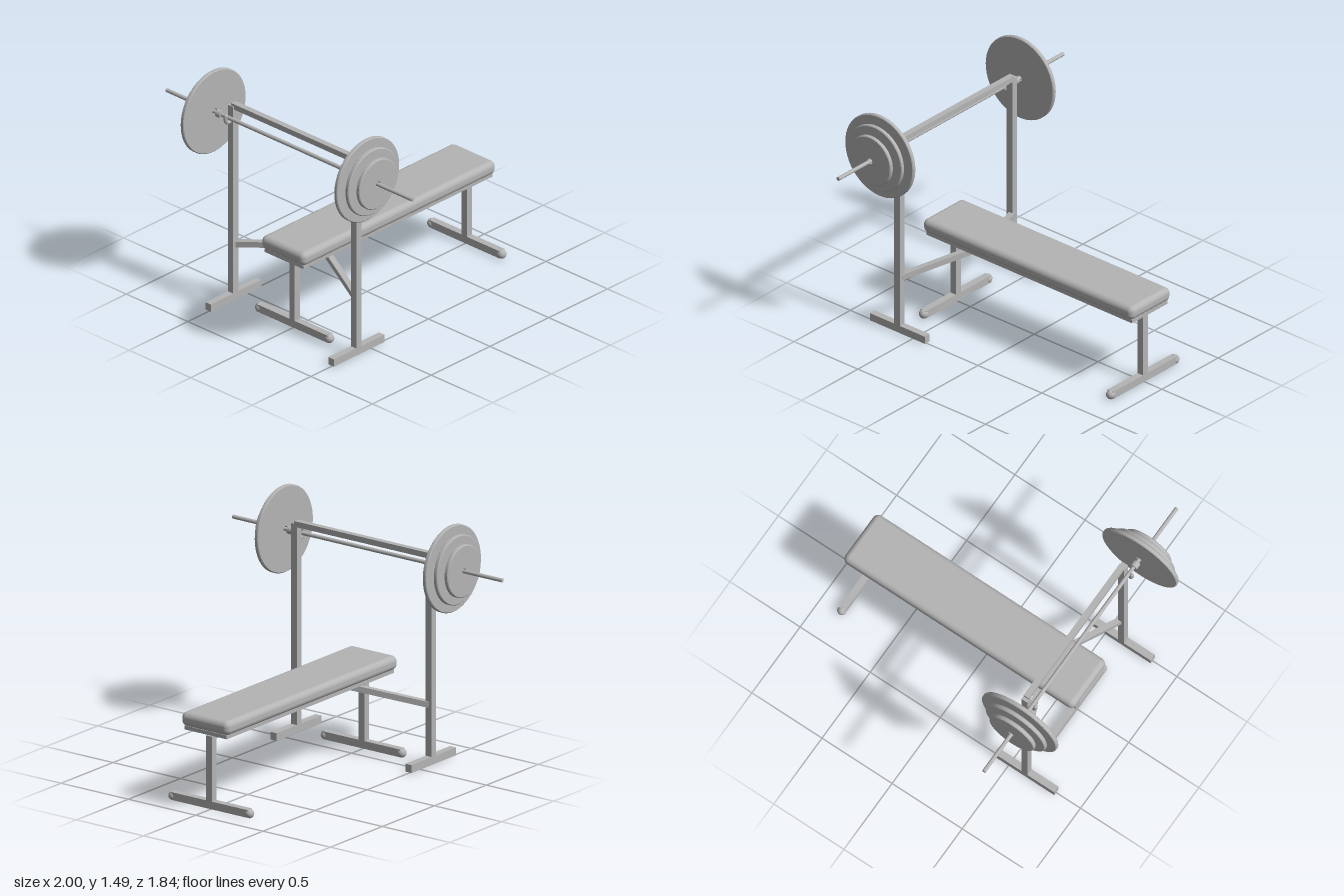
import * as THREE from 'three';
import { RoundedBoxGeometry } from 'three/addons/geometries/RoundedBoxGeometry.js';

export function createModel() {
  const model = new THREE.Group();
  model.name = 'weightBench';
  const grey = new THREE.MeshStandardMaterial({ color: 0xb4b4b4 });
  grey.name = 'grey';

  const add = (name, geometry, x, y, z) => {
    const mesh = new THREE.Mesh(geometry, grey);
    mesh.name = name;
    mesh.position.set(x, y, z);
    model.add(mesh);
    return mesh;
  };
  // Box given by its lower and upper limits
  const box = (name, [x0, x1], [y0, y1], [z0, z1]) =>
    add(name, new THREE.BoxGeometry(x1 - x0, y1 - y0, z1 - z0),
      (x0 + x1) / 2, (y0 + y1) / 2, (z0 + z1) / 2);

  const T = 0.022;       // half width of the square tube
  const rackZ = 0.615;
  const rearZ = -0.85;
  const barY = 1.224, barZ = 0.655;

  // Padded bench on its board and centre rail
  add('benchPad', new RoundedBoxGeometry(0.356, 0.087, 1.645, 5, 0.035), 0, 0.5395, -0.0985);
  box('benchBoard', [-0.157, 0.157], [0.475, 0.499], [-0.905, 0.705]);
  box('benchRail', [-T, T], [0.435, 0.475], [rearZ, rackZ]);

  // Front and rear legs with cross feet and rounded end caps
  for (const [name, z] of [['front', rackZ], ['rear', rearZ]]) {
    box(name + 'Leg', [-T, T], [0.03, 0.456], [z - T, z + T]);
    box(name + 'Foot', [-0.287, 0.287], [0.007, 0.055], [z - T, z + T]);
    for (const s of [-1, 1])
      add(name + 'FootCap', new THREE.SphereGeometry(0.029, 16, 10), s * 0.283, 0.029, z);
  }

  // Rack cross bar
  box('rackCrossbar', [-0.5, 0.5], [1.276, 1.311], [rackZ - T, rackZ + T - 0.006]);

  // Plate with softened rim and a centre hole, turned about the bar axis
  const plateGeometry = (radius, width) => {
    const h = width / 2, b = 0.005, hole = 0.019;
    const points = [
      [hole, -h], [radius - b, -h], [radius, -h + b],
      [radius, h - b], [radius - b, h], [hole, h], [hole, -h],
    ];
    // Doubled corners keep the faces crisp
    const sharp = points.flatMap(([r, y]) => [new THREE.Vector2(r, y), new THREE.Vector2(r, y)]);
    return new THREE.LatheGeometry(sharp, 56).rotateZ(-Math.PI / 2);
  };

  const hookCurve = new THREE.CatmullRomCurve3([
    [0, 1.205, 0.63], [0, 1.193, 0.647], [0, 1.194, 0.665], [0, 1.21, 0.677], [0, 1.243, 0.679],
  ].map((p) => new THREE.Vector3(...p)));

  for (const s of [-1, 1]) {
    // Upright and its floor foot
    const x = s * 0.5;
    box('rackUpright', [x - T, x + T], [0.03, 1.295], [rackZ - T, rackZ + T]);
    box('rackFoot', [x - T, x + T], [0.007, 0.055], [0.397, 0.828]);

    // Sloping brace from the upright to the bench rail
    const from = new THREE.Vector3(s * 0.495, 0.373, 0.607);
    const to = new THREE.Vector3(0, 0.457, 0.385);
    const mid = from.clone().add(to).multiplyScalar(0.5);
    add('rackBrace', new THREE.BoxGeometry(0.037, 0.036, from.distanceTo(to)), mid.x, mid.y, mid.z)
      .lookAt(to);

    // Hook that carries the bar
    add('barHook', new THREE.TubeGeometry(hookCurve, 20, 0.012, 10), x, 0, 0);
    add('barHookTip', new THREE.SphereGeometry(0.012, 10, 8), x, 1.243, 0.679);

    // Collar and three weight plates
    add('barCollar', new THREE.CylinderGeometry(0.024, 0.024, 0.036, 20).rotateZ(Math.PI / 2),
      s * 0.569, barY, barZ);
    for (const [px, radius] of [[0.624, 0.267], [0.664, 0.213], [0.703, 0.16]])
      add('weightPlate', plateGeometry(radius, 0.027), s * px, barY, barZ);
  }

  // Barbell shaft
  add('barbellShaft', new THREE.CylinderGeometry(0.012, 0.012, 2, 20).rotateZ(Math.PI / 2), 0, barY, barZ);

  return model;
}
